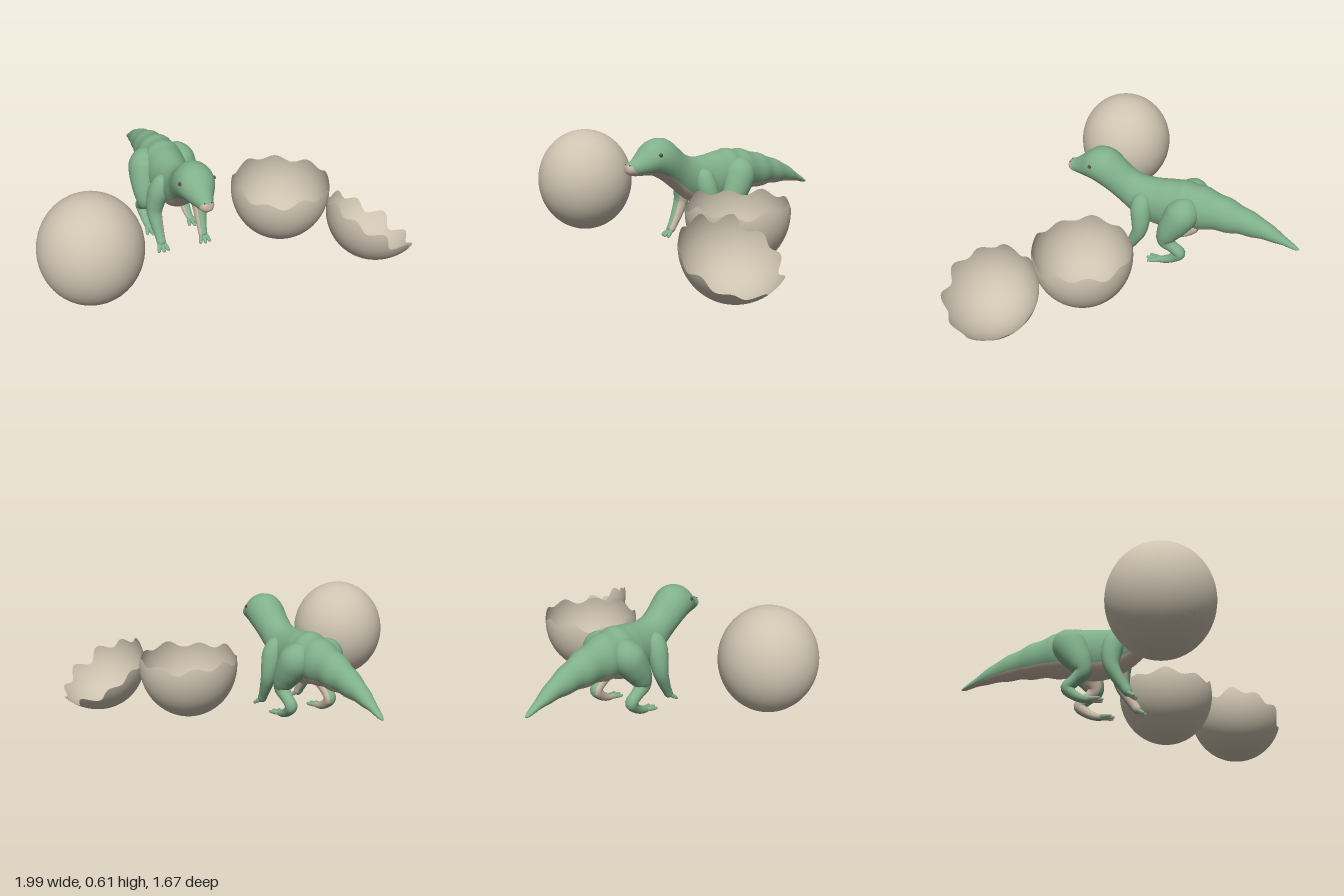
import * as THREE from 'three';

const mat = (name, color, side = THREE.FrontSide) => {
  const m = new THREE.MeshStandardMaterial({ color, side });
  m.name = name;
  return m;
};

// Tube through rows [x, y, z, bellyRadius, sideRadius, bellyHalfAngle].
// The belly side faces `belly`; group 0 is belly, group 1 is back.
function loft(rows, belly, { steps = 40, fixedT = null, ripple = 0 } = {}) {
  const nb = 10, nt = 18, n = nb + nt;
  const path = new THREE.CatmullRomCurve3(rows.map(r => new THREE.Vector3(r[0], r[1], r[2])), false, 'catmullrom', 0.5);
  const size = new THREE.CatmullRomCurve3(rows.map(r => new THREE.Vector3(r[3], r[4], r[5])), false, 'catmullrom', 0.5);
  const pos = [], bellyIdx = [], backIdx = [];
  for (let i = 0; i <= steps; i++) {
    const t = i / steps, c = path.getPoint(t), s = size.getPoint(t);
    const T = fixedT ?? path.getTangent(t);
    const B = belly.clone().addScaledVector(T, -belly.dot(T)).normalize();
    const S = new THREE.Vector3().crossVectors(T, B);
    const k = 1 + (t > 0.64 ? ripple * Math.sin((t - 0.64) * 110) : 0);
    const b = THREE.MathUtils.clamp(s.z, 0.1, 3.1);
    for (let j = 0; j < n; j++) {
      const a = j < nb ? -b + 2 * b * j / nb : b + (2 * Math.PI - 2 * b) * (j - nb) / nt;
      const p = c.clone()
        .addScaledVector(B, Math.cos(a) * Math.max(s.x, 0.0005) * k)
        .addScaledVector(S, Math.sin(a) * Math.max(s.y, 0.0005) * k);
      pos.push(p.x, p.y, p.z);
      if (i === steps) continue;
      const j2 = (j + 1) % n, q = i * n + j, r = i * n + j2;
      (j < nb ? bellyIdx : backIdx).push(q, r, r + n, q, r + n, q + n);
    }
  }
  const g = new THREE.BufferGeometry();
  g.setAttribute('position', new THREE.Float32BufferAttribute(pos, 3));
  g.setIndex([...bellyIdx, ...backIdx]);
  g.addGroup(0, bellyIdx.length, 0);
  g.addGroup(bellyIdx.length, backIdx.length, 1);
  g.computeVertexNormals();
  return g;
}

// Open egg shell whose rim height (from the egg centre) follows rim(angle)
const RX = 0.27, RY = 0.292;
function brokenShell(rim) {
  const g = new THREE.SphereGeometry(1, 96, 24, 0, Math.PI * 2, 0.1, Math.PI - 0.1);
  const { position: p, uv, normal } = g.attributes;
  for (let i = 0; i < p.count; i++) {
    const phi = uv.getX(i) * Math.PI * 2;
    const a = uv.getY(i) * Math.acos(-rim(phi) / RY);
    const x = -Math.cos(phi) * Math.sin(a), y = -Math.cos(a), z = Math.sin(phi) * Math.sin(a);
    p.setXYZ(i, x * RX, y * RY, z * RX);
    const v = new THREE.Vector3(x / RX, y / RY, z / RX).normalize();
    normal.setXYZ(i, v.x, v.y, v.z);
  }
  return g;
}

export function createModel() {
  const model = new THREE.Group();
  const shell = mat('shell beige', 0xcdc3b0);
  const openShell = mat('broken shell beige', 0xcdc3b0, THREE.DoubleSide);
  const green = mat('skin green', 0x80b08b);
  const cream = mat('belly beige', 0xcbb9a8);
  const brown = mat('eye brown', 0x5e4a3c);
  const skin = [cream, green];
  const add = (parent, name, geo, material, x = 0, y = 0, z = 0) => {
    const m = new THREE.Mesh(geo, material);
    m.name = name;
    m.position.set(x, y, z);
    parent.add(m);
    return m;
  };

  // Whole egg
  add(model, 'wholeEgg', new THREE.SphereGeometry(1, 48, 32), shell, -0.73, 0.297, 0.4).scale.set(RX, RY, RX);

  // Upright lower shell and tipped cap
  add(model, 'lowerShell', brokenShell(a => 0.04 + 0.016 * Math.sin(9 * a) + 0.01 * Math.sin(4 * a + 1)),
    openShell, 0.4, 0.297, 0.215);
  const cap = add(model, 'tippedShell',
    brokenShell(a => -0.088 + 0.022 * Math.cos(10 * a) + 0.01 * Math.sin(7 * a)),
    openShell, 0.805, 0.292, 0.578);
  cap.rotation.z = -0.56;

  // Hatchling, built around its own centre line
  const baby = new THREE.Group();
  baby.name = 'hatchling';
  baby.position.x = -0.145;
  model.add(baby);

  // Head, trunk and tail: z, top, bottom, half width, belly half angle
  const trunk = [
    [0.520, 0.468, 0.464, 0.002, 3.1],
    [0.516, 0.485, 0.447, 0.022, 3.0],
    [0.500, 0.498, 0.432, 0.036, 2.2],
    [0.470, 0.512, 0.424, 0.044, 1.0],
    [0.430, 0.545, 0.420, 0.062, 0.8],
    [0.390, 0.580, 0.418, 0.085, 0.75],
    [0.350, 0.602, 0.410, 0.100, 0.75],
    [0.300, 0.610, 0.385, 0.106, 0.75],
    [0.250, 0.598, 0.350, 0.103, 0.8],
    [0.190, 0.550, 0.300, 0.094, 0.85],
    [0.130, 0.500, 0.250, 0.094, 0.9],
    [0.060, 0.475, 0.210, 0.100, 0.95],
    [-0.02, 0.475, 0.190, 0.106, 0.95],
    [-0.10, 0.485, 0.190, 0.115, 0.95],
    [-0.20, 0.490, 0.208, 0.118, 0.95],
    [-0.30, 0.473, 0.228, 0.106, 0.95],
    [-0.42, 0.437, 0.236, 0.088, 0.95],
    [-0.53, 0.395, 0.238, 0.069, 0.95],
    [-0.64, 0.345, 0.232, 0.050, 0.95],
    [-0.74, 0.278, 0.220, 0.030, 0.85],
    [-0.82, 0.222, 0.200, 0.013, 0.6],
    [-0.84, 0.208, 0.204, 0.002, 0.5],
  ].map(([z, top, bot, w, b]) => [0, (top + bot) / 2, z, (top - bot) / 2, w, b]);
  add(baby, 'body', loft(trunk, new THREE.Vector3(0, -1, 0),
    { steps: 130, fixedT: new THREE.Vector3(0, 0, -1), ripple: 0.035 }), skin);

  // Limbs: sideways offset, y, z, radius
  const hind = [
    [0.060, 0.450, -0.215, 0.002], [0.075, 0.420, -0.210, 0.060], [0.095, 0.365, -0.195, 0.092],
    [0.112, 0.300, -0.160, 0.086], [0.127, 0.230, -0.122, 0.066], [0.132, 0.175, -0.108, 0.046],
    [0.130, 0.135, -0.150, 0.034], [0.128, 0.098, -0.192, 0.034], [0.126, 0.055, -0.155, 0.027],
    [0.126, 0.028, -0.105, 0.022], [0.126, 0.020, -0.060, 0.017], [0.126, 0.018, -0.050, 0.001]];
  const fore = [
    [0.060, 0.420, 0.050, 0.002], [0.075, 0.390, 0.052, 0.045], [0.100, 0.330, 0.050, 0.058],
    [0.120, 0.260, 0.044, 0.052], [0.130, 0.195, 0.050, 0.042], [0.128, 0.130, 0.080, 0.034],
    [0.124, 0.075, 0.112, 0.027], [0.122, 0.038, 0.136, 0.023], [0.122, 0.026, 0.148, 0.001]];
  for (const s of [1, -1]) {
    const side = s > 0 ? 'left' : 'right';
    const inner = new THREE.Vector3(-s, 0, 0);
    const limb = rows => loft(rows.map(([x, y, z, r]) => [s * x, y, z, r, r, 0.95]), inner, { steps: 60 });
    add(baby, side + 'HindLeg', limb(hind), skin);
    add(baby, side + 'ForeLeg', limb(fore), skin);

    // Three toes per foot, pale underneath
    for (const [name, x, y, z, len, drop] of [['Hind', 0.126, 0.022, -0.075, 0.08, 0.008], ['Fore', 0.122, 0.042, 0.132, 0.05, 0.034]])
      for (const f of [-1, 0, 1]) {
        const l = len * (f ? 0.85 : 1);
        const row = (t, r) => [s * x + f * (0.008 + 0.022 * t), y - drop * t, z + l * t, r, r, 1.2];
        add(baby, side + name + 'Toe', loft([row(0, 0.001), row(0.1, 0.012), row(0.6, 0.011), row(0.95, 0.007), row(1, 0.001)],
          new THREE.Vector3(0, -1, 0), { steps: 12 }), skin);
      }

    // Eyes and nostrils
    add(baby, side + 'Eye', new THREE.SphereGeometry(0.011, 16, 12), brown, s * 0.091, 0.535, 0.355);
    add(baby, side + 'Nostril', new THREE.SphereGeometry(0.004, 10, 8), brown, s * 0.019, 0.489, 0.506);
  }
  return model;
}
